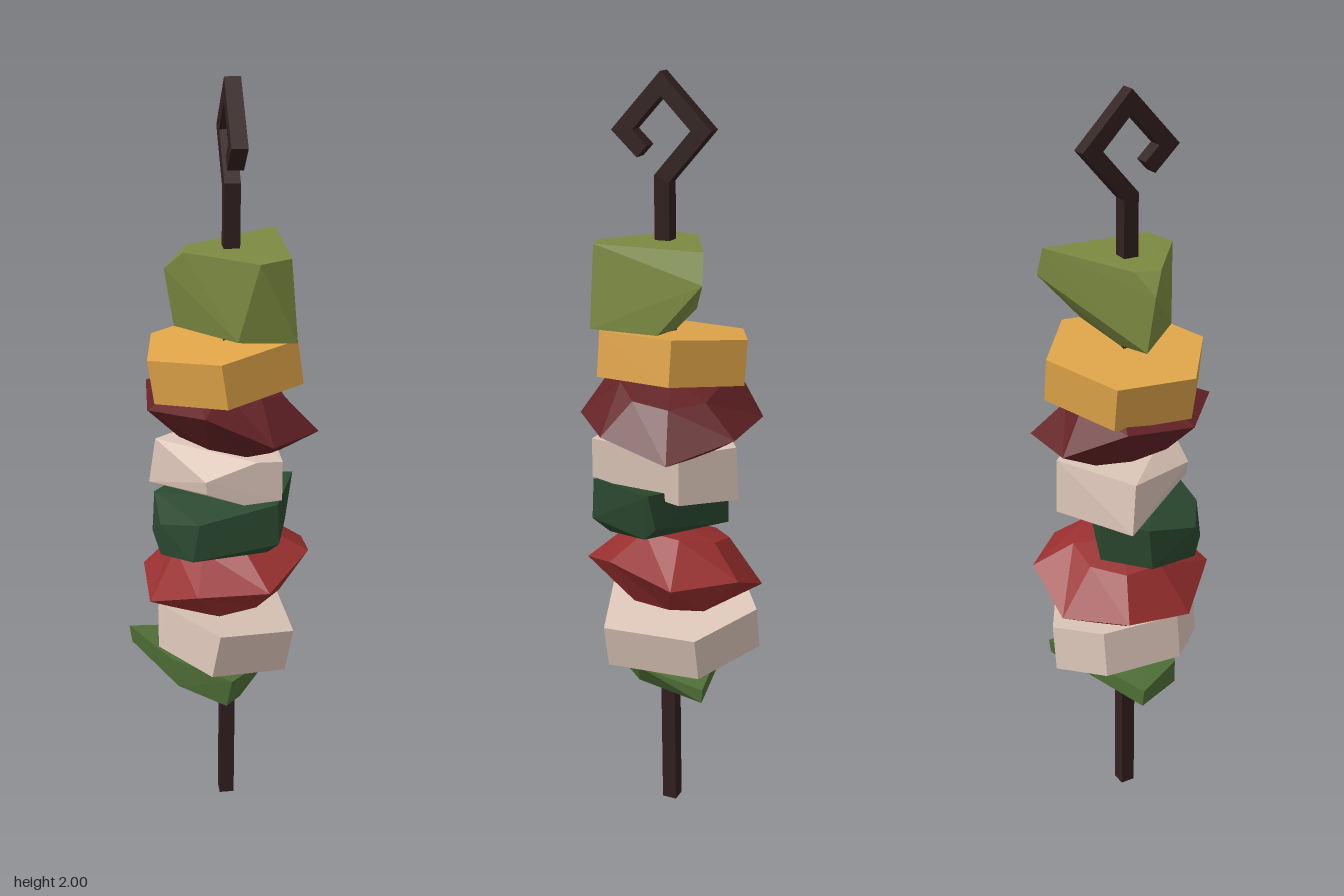
import * as THREE from 'three';
import { ConvexGeometry } from 'three/addons/geometries/ConvexGeometry.js';

const mat = (name, color) => Object.assign(new THREE.MeshStandardMaterial({ color }), { name });

// Flat-shaded mesh
function part(name, geo, material) {
  const g = geo.index ? geo.toNonIndexed() : geo;
  g.computeVertexNormals();
  const mesh = new THREE.Mesh(g, material);
  mesh.name = name;
  return mesh;
}

// Lean a mesh so its plane rises by sx along x and sz along z
function lean(mesh, y, sx, sz) {
  mesh.position.y = y;
  mesh.quaternion.setFromUnitVectors(new THREE.Vector3(0, 1, 0), new THREE.Vector3(-sx, 1, -sz).normalize());
  return mesh;
}

// Straight-sided slice from an [x, z] outline
function slice(name, material, outline, thickness) {
  const shape = new THREE.Shape(outline.map(([x, z]) => new THREE.Vector2(x, -z)));
  const geo = new THREE.ExtrudeGeometry(shape, { depth: thickness, bevelEnabled: false });
  geo.translate(0, 0, -thickness / 2).rotateX(-Math.PI / 2);
  return part(name, geo, material);
}

// Eight-sided lens-shaped chunk whose rim zigzags up and down
function lens(name, material, half) {
  const rim = 0.236;
  const profile = [[0, -half], [0.13, -half * 0.85], [rim, 0], [0.13, half * 0.85], [0, half]];
  const geo = new THREE.LatheGeometry(profile.map(p => new THREE.Vector2(...p)), 8, Math.PI / 8);
  const pos = geo.attributes.position;
  for (let i = 0; i < pos.count; i++) {
    const x = pos.getX(i), z = pos.getZ(i);
    if (Math.hypot(x, z) > rim - 0.01) pos.setY(i, 0.018 * Math.sin(4 * Math.atan2(x, z)));
  }
  return part(name, geo, material);
}

// Faceted cut chunk
const chunk = (name, material, points) =>
  part(name, new ConvexGeometry(points.map(p => new THREE.Vector3(...p))), material);

// Constant-width ribbon outline with mitred corners
function ribbon(path, half) {
  const pts = path.map(p => new THREE.Vector2(...p));
  const normal = i => {
    const d = pts[i + 1].clone().sub(pts[i]).normalize();
    return new THREE.Vector2(-d.y, d.x);
  };
  const left = [], right = [];
  pts.forEach((p, i) => {
    const a = normal(Math.max(i - 1, 0));
    const b = normal(Math.min(i, pts.length - 2));
    const m = a.clone().add(b).normalize();
    m.multiplyScalar(half / m.dot(a));
    left.push(p.clone().add(m));
    right.push(p.clone().sub(m));
  });
  return new THREE.Shape([...right, ...left.reverse()]);
}

export function createModel() {
  const model = new THREE.Group();
  model.name = 'skewer';

  const iron = mat('dark iron', 0x32201f);
  const olive = mat('olive green', 0x7c8a41);
  const yellow = mat('yellow pepper', 0xe0a549);
  const meatRed = mat('dark meat red', 0x632225);
  const tomatoRed = mat('tomato red', 0x992f2f);
  const cream = mat('onion cream', 0xdcc5b8);
  const darkGreen = mat('dark green', 0x2a482f);
  const green = mat('leaf green', 0x4f6f37);

  // Square rod bent into a hook at the top
  const hook = [[0, 0], [0, 1.745], [0.105, 1.863], [0, 1.97], [-0.105, 1.858], [-0.052, 1.808]];
  const rodGeo = new THREE.ExtrudeGeometry(ribbon(hook, 0.02), { depth: 0.04, bevelEnabled: false });
  rodGeo.translate(0, 0, -0.02);
  const rod = part('hookedRod', rodGeo, iron);
  rod.position.set(-0.01, 0, 0.008);
  rod.rotation.set(0.01, 0.82, 0);
  model.add(rod);

  // Bottom pepper wedge
  model.add(chunk('lowerPepper', green, [
    [-0.135, 0.5, -0.235], [-0.13, 0.45, -0.23], [0.21, 0.445, 0.0], [0.205, 0.405, 0.0],
    [-0.17, 0.48, -0.05], [-0.165, 0.4, -0.03], [-0.12, 0.45, 0.12], [-0.12, 0.367, 0.1],
    [-0.05, 0.36, 0.09], [0.0, 0.362, 0.02], [0.08, 0.38, 0.03], [-0.1, 0.395, -0.1], [0.04, 0.45, 0.12],
  ]));

  // Lower onion slice
  model.add(lean(slice('lowerOnion', cream, [
    [0.02, 0.205], [0.188, 0.01], [0.125, -0.19], [-0.025, -0.215], [-0.185, -0.07], [-0.18, 0.115],
  ], 0.12), 0.545, -0.12, -0.14));

  // Tomato
  model.add(lean(lens('tomato', tomatoRed, 0.11), 0.72, 0.11, 0.2));

  // Middle pepper
  model.add(chunk('middlePepper', darkGreen, [
    [-0.13, 0.82, -0.145], [-0.12, 0.93, -0.145], [-0.215, 0.815, -0.04], [-0.215, 0.9, -0.04],
    [-0.205, 0.82, 0.06], [-0.19, 0.92, 0.07], [-0.05, 0.86, 0.215], [-0.04, 0.82, 0.17],
    [-0.05, 0.97, 0.21], [0.1, 0.845, 0.12], [0.13, 0.975, 0.12], [0.13, 0.88, 0.1],
    [0.01, 0.825, -0.145], [0.01, 0.94, -0.145],
  ]));

  // Upper onion
  model.add(chunk('upperOnion', cream, [
    [-0.165, 1.03, 0.07], [-0.16, 0.995, 0.07], [-0.085, 1.085, 0.17], [-0.04, 1.085, 0.215],
    [-0.04, 0.98, 0.215], [-0.1, 0.965, 0.14], [0.0, 0.95, 0.1], [0.135, 1.075, 0.04],
    [0.135, 0.94, 0.04], [0.135, 1.08, -0.115], [0.135, 0.937, -0.125],
    [-0.09, 1.065, -0.165], [-0.09, 0.935, -0.19],
  ]));

  // Meat
  const meat = lean(lens('meat', meatRed, 0.092), 1.157, -0.26, -0.1);
  meat.position.z = 0.012;
  model.add(meat);

  // Yellow pepper slice
  model.add(lean(slice('yellowPepper', yellow, [
    [-0.05, -0.2], [0.155, -0.13], [0.185, 0.08], [0.03, 0.215], [-0.175, 0.14], [-0.21, -0.07],
  ], 0.115), 1.304, 0.1, 0.1));

  // Top pepper wedge
  model.add(chunk('topPepper', olive, [
    [0.2, 1.6, 0.0], [0.22, 1.525, 0.01], [-0.01, 1.595, 0.21], [-0.085, 1.59, 0.175],
    [-0.115, 1.59, -0.04], [-0.06, 1.59, -0.08], [-0.118, 1.54, -0.1], [-0.095, 1.39, -0.09],
    [-0.1, 1.39, 0.12], [0.0, 1.385, 0.225], [0.0, 1.365, 0.0], [0.135, 1.39, 0.095],
  ]));

  return model;
}
